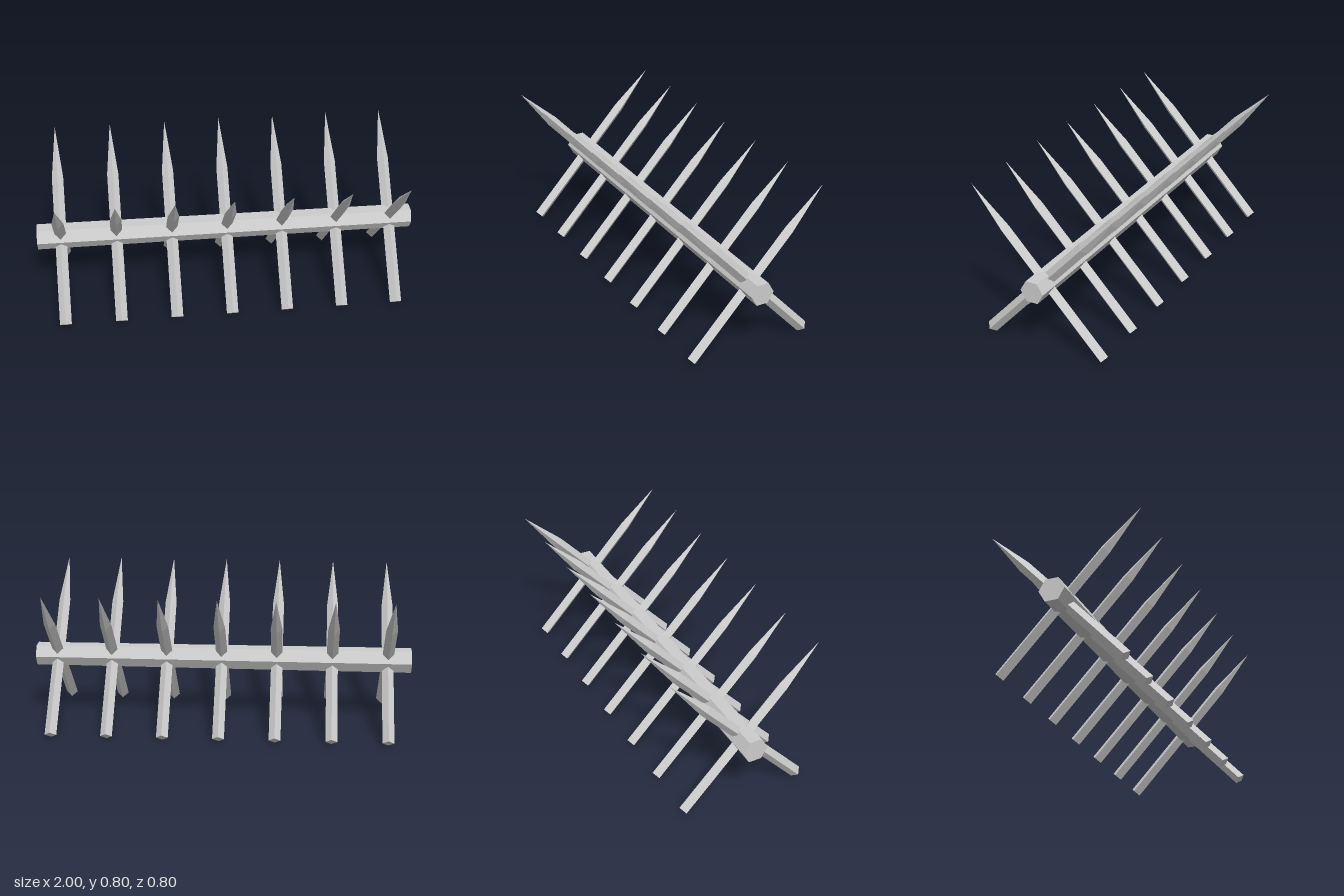
import * as THREE from 'three';

export function createModel() {
  const model = new THREE.Group();
  model.name = 'spikedBarricade';

  const greyWood = new THREE.MeshStandardMaterial({ color: 0xcccccc });
  greyWood.name = 'greyWood';
  greyWood.flatShading = true;

  // Hexagonal beam lying along x, its ends slightly uneven
  const beamGeometry = new THREE.CylinderGeometry(0.062, 0.067, 2, 6);
  beamGeometry.rotateZ(-Math.PI / 2);
  const p = beamGeometry.attributes.position;
  for (let i = 0; i < p.count; i++) {
    const x = p.getX(i);
    p.setY(i, p.getY(i) + 0.367 - 0.003 * x);
    p.setZ(i, p.getZ(i) + 0.003 * x);
  }
  beamGeometry.computeVertexNormals();
  const beam = new THREE.Mesh(beamGeometry, greyWood);
  beam.name = 'beam';
  model.add(beam);

  // Four-sided stake: flat foot, straight shaft, long sharpened tip
  const baseZ = 0.32, baseY = 0.025, tipZ = 0.4, tipY = 0.8;
  const length = Math.hypot(tipZ + baseZ, tipY - baseY);
  const lean = Math.atan2(tipZ + baseZ, tipY - baseY);
  const profile = [[0, 0], [0.031, 0], [0.03, 0.785], [0, length]];
  const stakeGeometry = new THREE.LatheGeometry(
    profile.map(([r, y]) => new THREE.Vector2(r, y)), 4);

  // Seven crossed pairs of stakes
  for (let i = -3; i <= 3; i++) {
    const pair = new THREE.Group();
    pair.name = 'stakePair' + (i + 4);
    pair.position.x = 0.004 + i * 0.2935;
    for (const side of [1, -1]) {
      const stake = new THREE.Mesh(stakeGeometry, greyWood);
      stake.name = side > 0 ? 'frontStake' : 'backStake';
      stake.position.set(0, baseY, -side * baseZ);
      stake.rotation.x = side * lean;
      pair.add(stake);
    }
    model.add(pair);
  }
  return model;
}
